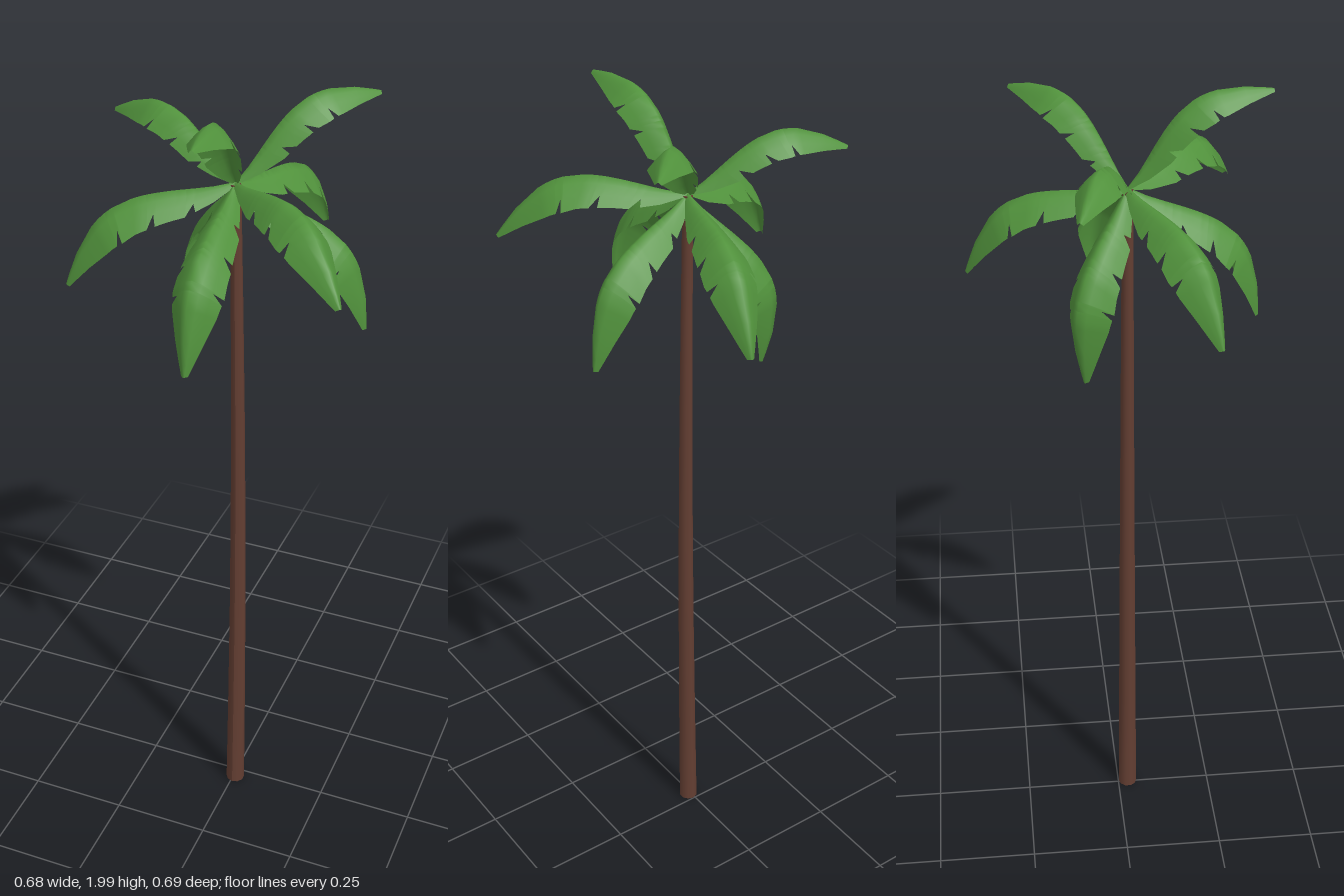
import * as THREE from 'three';

const CROWN = new THREE.Vector3(0.005, 1.785, 0.02);

// Frond tips: x, y, z
const TIPS = [
  [0.04, 1.985, 0.34], [0.005, 1.46, 0.325], [0.34, 1.675, 0.295],
  [0.3, 1.455, -0.035], [0.25, 1.94, -0.225], [0.1, 1.555, -0.345],
  [-0.13, 1.375, -0.09], [-0.34, 1.86, -0.11], [-0.335, 1.555, 0.19],
];

// Half width along a frond of unit scale: t, width
const PROFILE = [[0, 0.006], [0.1, 0.026], [0.22, 0.046], [0.4, 0.057], [0.58, 0.06], [0.72, 0.052], [0.86, 0.034], [0.95, 0.018], [1, 0.008]];
const NOTCHES = { left: [0.19, 0.37, 0.59], right: [0.27, 0.44, 0.64] };
const ACROSS = [-1, -0.66, -0.33, 0, 0.33, 0.66, 1];

function halfWidth(t) {
  const i = Math.max(1, PROFILE.findIndex(p => p[0] >= t));
  const [t0, w0] = PROFILE[i - 1], [t1, w1] = PROFILE[i];
  return w0 + (w1 - w0) * (t - t0) / (t1 - t0);
}

// An arched, folded blade with slanted cuts along both edges
function frondGeometry(tip) {
  const chord = tip.clone().sub(CROWN);
  const scale = chord.length() / 0.45;
  const flat = new THREE.Vector3(chord.x, 0, chord.z).normalize();
  const side = new THREE.Vector3().crossVectors(flat, new THREE.Vector3(0, 1, 0));
  const lift = new THREE.Vector3().crossVectors(side, chord).normalize();
  const spine = t => CROWN.clone().addScaledVector(chord, t)
    .addScaledVector(lift, 0.098 * scale * Math.sin(Math.PI * Math.pow(t, 1.25)));

  const stations = PROFILE.map(p => p[0]);
  for (const n of [...NOTCHES.left, ...NOTCHES.right]) stations.push(n - 0.014, n, n + 0.034);
  stations.sort((a, b) => a - b);

  const pos = [], index = [], cols = ACROSS.length;
  stations.forEach((t, i) => {
    const tangent = spine(Math.min(1, t + 0.02)).sub(spine(Math.max(0, t - 0.02))).normalize();
    const up = new THREE.Vector3().crossVectors(side, tangent);
    const w = halfWidth(t) * scale;
    for (const v of ACROSS) {
      // Only the outer edge is pulled in at a cut
      const cut = Math.abs(v) === 1 && (v < 0 ? NOTCHES.left : NOTCHES.right).includes(t);
      const u = cut ? v * 0.68 : v, a = Math.abs(u);
      const slant = 0.14 * a * a * t * (1 - t) * chord.length();
      const p = spine(t).addScaledVector(side, w * u)
        .addScaledVector(tangent, slant)
        .addScaledVector(up, -w * Math.pow(a, 1.4));
      pos.push(p.x, p.y, p.z);
    }
    if (i === 0) return;
    for (let j = 0; j < cols - 1; j++) {
      const a = (i - 1) * cols + j, b = i * cols + j;
      index.push(a, a + 1, b, b, a + 1, b + 1);
    }
  });
  const g = new THREE.BufferGeometry();
  g.setAttribute('position', new THREE.Float32BufferAttribute(pos, 3));
  g.setIndex(index);
  g.computeVertexNormals();
  return g;
}

export function createModel() {
  const palm = new THREE.Group();
  palm.name = 'palmTree';

  const bark = new THREE.MeshStandardMaterial({ color: 0x633e32 });
  bark.name = 'brown bark';
  const leaf = new THREE.MeshStandardMaterial({ color: 0x51923c, side: THREE.DoubleSide });
  leaf.name = 'palm green';

  // Trunk: slim taper with a slight lean toward the crown
  const trunkGeo = new THREE.CylinderGeometry(0.0125, 0.0245, 1.78, 10, 6);
  trunkGeo.translate(0, 1.78 / 2, 0);
  const p = trunkGeo.attributes.position;
  for (let i = 0; i < p.count; i++) {
    const k = p.getY(i) / 1.78;
    p.setX(i, p.getX(i) + 0.005 + 0.007 * Math.sin(Math.PI * k));
    p.setZ(i, p.getZ(i) + 0.026 - 0.006 * k);
  }
  trunkGeo.computeVertexNormals();
  const trunk = new THREE.Mesh(trunkGeo, bark);
  trunk.name = 'trunk';
  palm.add(trunk);

  // Crown of fronds
  const crown = new THREE.Group();
  crown.name = 'crown';
  TIPS.forEach((tip, i) => {
    const frond = new THREE.Mesh(frondGeometry(new THREE.Vector3(...tip)), leaf);
    frond.name = 'frond' + (i + 1);
    crown.add(frond);
  });
  palm.add(crown);
  return palm;
}
